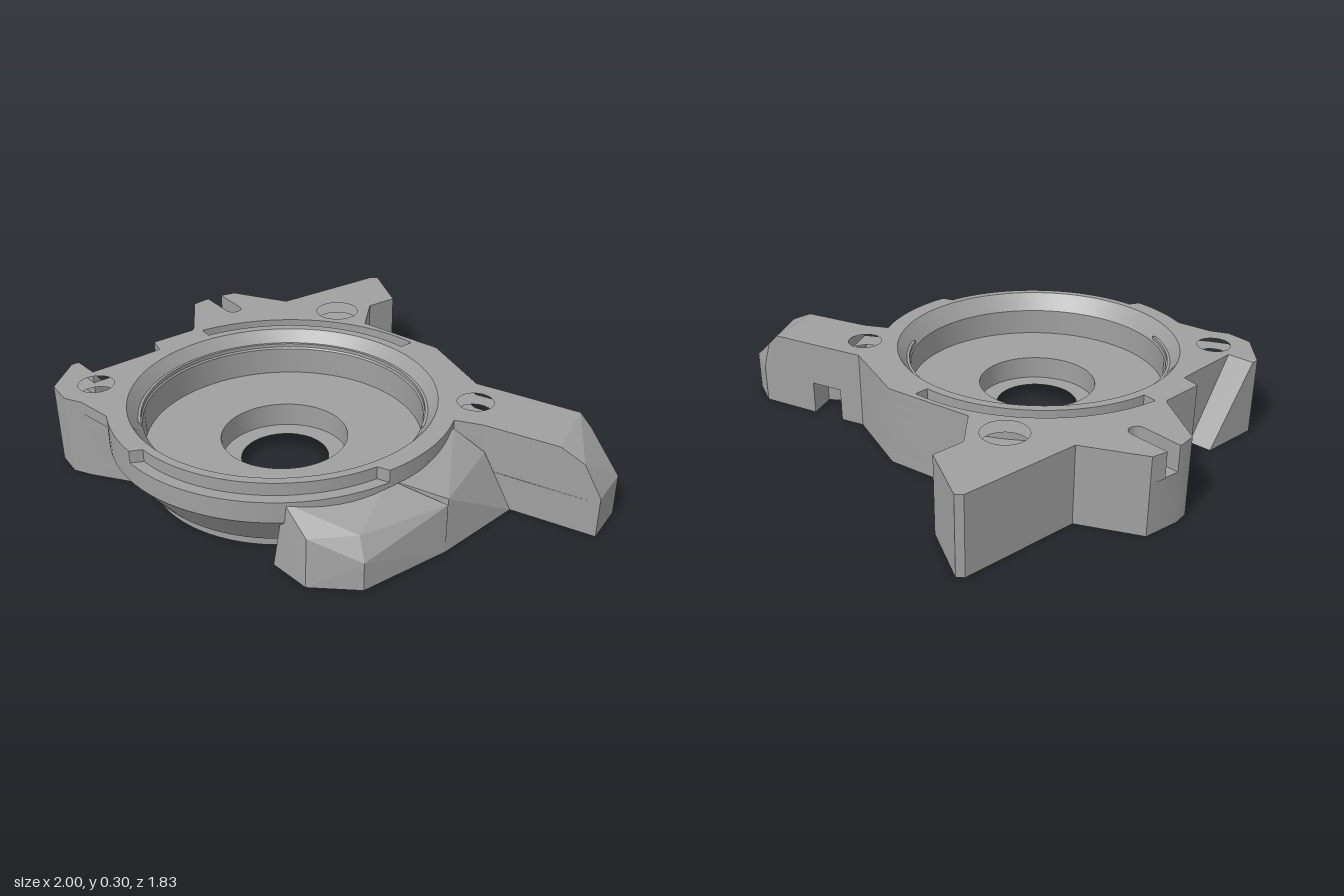
import * as THREE from 'three';
import { toCreasedNormals } from 'three/addons/utils/BufferGeometryUtils.js';
import { ConvexGeometry } from 'three/addons/geometries/ConvexGeometry.js';

const CX = -0.17, CZ = 0.23; // centre of the round bowl

// points [x, z] along an arc around a centre, angles in degrees (0 = +x, 90 = +z)
function arc(r, a0, a1, n = 32, cx = CX, cz = CZ) {
  return Array.from({ length: n + 1 }, (_, i) => {
    const a = THREE.MathUtils.degToRad(a0 + (a1 - a0) * i / n);
    return [cx + r * Math.cos(a), cz + r * Math.sin(a)];
  });
}
const circle = (r, x = CX, z = CZ, n = 48) => arc(r, 0, 360 - 360 / n, n - 1, x, z);
const band = (r0, r1, a0, a1) => [...arc(r0, a0, a1), ...arc(r1, a1, a0)];
const toVec = (pts) => pts.map(([x, z]) => new THREE.Vector2(x, -z));

export function createModel() {
  const group = new THREE.Group();
  const grey = new THREE.MeshStandardMaterial({ color: 0xa0a0a0 });
  grey.name = 'machined grey';

  function add(name, geometry) {
    const mesh = new THREE.Mesh(geometry, grey);
    mesh.name = name;
    group.add(mesh);
  }
  // horizontal slab between two heights
  function slab(name, y0, y1, outline, holes = []) {
    const shape = new THREE.Shape(toVec(outline));
    shape.holes = holes.map((h) => new THREE.Path(toVec(h)));
    const geo = new THREE.ExtrudeGeometry(shape, { depth: y1 - y0, bevelEnabled: false });
    geo.rotateX(-Math.PI / 2).translate(0, y0, 0);
    add(name, toCreasedNormals(geo, 0.5));
  }
  // faceted block from [x, y, z] corners
  function block(name, corners) {
    add(name, new ConvexGeometry(corners.map((c) => new THREE.Vector3(...c))));
  }
  const atY = (y, pts) => pts.map(([x, z]) => [x, y, z]);

  // outline of the plate, from the left lug round the back to the long arm
  const lug = [[-0.86, 0.39], [-0.93, 0.37], [-1, 0.29], [-1, 0.11], [-0.98, 0.09], [-0.9, 0.16],
    [-0.76, 0], [-0.71, -0.06], [-0.75, -0.12], [-0.63, -0.25], [-0.63, -0.27], [-0.69, -0.51], [-0.655, -0.56]];
  const slot = [[-0.645, -0.57], ...arc(0.032, 135, -45, 10, -0.515, -0.48), [-0.6, -0.615]];
  const back = [[-0.55, -0.65], [-0.31, -0.59], [0.02, -0.91], [0.05, -0.91], [0.14, -0.68],
    [0.05, -0.59], [0.05, -0.41], [0.35, -0.22], [0.51, 0.06], [0.6, 0.1], [0.54, 0.36], [0.44, 0.34]];
  const plain = [...lug, ...back];
  const slotted = [...lug, ...slot, ...back];

  // bolt holes
  const rightHole = circle(0.065, 0.51, 0.2, 32);
  const leftHole = circle(0.065, -0.855, 0.25, 32);
  const rearHole = (r) => circle(r, -0.08, -0.52, 32);

  // base with keyways cut in the underside
  slab('base', 0, 0.04, [...plain, ...arc(0.49, 12, 156)], [
    circle(0.16), rightHole, leftHole, rearHole(0.07),
    band(0.385, 0.435, -25, 25),
    band(0.385, 0.425, -152, -87),
    [[-0.3, -0.26], [-0.24, -0.28], [-0.36, -0.56], [-0.42, -0.54]],
  ]);
  // plate layers wrapping the back of the bowl
  slab('plateLower', 0.04, 0.2, [...plain, ...arc(0.505, 10, -203, 64)],
    [rightHole, leftHole]);
  slab('plateUpper', 0.2, 0.255, [...slotted, ...arc(0.505, 10, -203, 64)],
    [rightHole, leftHole, rearHole(0.085)]);
  // top face with an arc groove at the back and a stepped rim at the front
  slab('plateTop', 0.255, 0.3,
    [...slotted, ...arc(0.62, 10, 47, 12), ...arc(0.58, 49, 131), ...arc(0.62, 133, 157, 8)],
    [circle(0.565, CX, CZ, 96), band(0.585, 0.64, -131, -49), rightHole, leftHole, rearHole(0.085)]);

  // bowl with a coned outer wall and a counterbored centre
  const profile = [[0.23, 0.04], [0.511, 0.04], [0.62, 0.18], [0.62, 0.255], [0.58, 0.255], [0.58, 0.3],
    [0.55, 0.3], [0.5, 0.235], [0.5, 0.13], [0.23, 0.13], [0.23, 0.04]];
  const bowl = new THREE.LatheGeometry(profile.map(([r, y]) => new THREE.Vector2(r, y)), 96);
  bowl.translate(CX, 0, CZ);
  add('bowl', toCreasedNormals(bowl, 0.4));

  // long arm with a sloped tip and a channel beneath
  const tip = [[0.94, 0.26], [1, 0.38], [0.93, 0.53]];
  const root = [[0.6, 0.1], [0.54, 0.36]];
  block('armUpper', [
    ...atY(0.13, [...root, ...tip]), ...atY(0.15, tip),
    ...atY(0.3, [...root, [0.87, 0.227], [0.79, 0.469]]),
    [0.91, 0.255, 0.247], [0.87, 0.26, 0.504],
  ]);
  const armFoot = [[0.72, 0.157], ...tip, [0.65, 0.41]];
  block('armFoot', [...atY(0, armFoot), ...atY(0.13, armFoot)]);
  const armWeb = [[0.56, 0.27], [0.69, 0.27], [0.65, 0.41], [0.54, 0.36]];
  block('armWeb', [...atY(0, armWeb), ...atY(0.13, armWeb)]);

  // faceted buttress at the front left
  block('buttressFront', [
    ...atY(0, [[-0.1, 0.82], [0.02, 0.92], [0.2, 0.91], [0.44, 0.68], [0.3, 0.6], [0.05, 0.7]]),
    [-0.06, 0.25, 0.83], [0.02, 0.17, 0.9], [0.2, 0.1, 0.905], [0.18, 0.17, 0.86],
    [0.44, 0.17, 0.66], [0.25, 0.25, 0.66],
  ]);
  block('buttressSide', [
    ...atY(0, [[0.44, 0.68], [0.44, 0.61], [0.65, 0.41], [0.5, 0.33], [0.35, 0.5]]),
    [0.25, 0.25, 0.66], [0.44, 0.18, 0.64], [0.44, 0.28, 0.36], [0.55, 0.2, 0.37],
  ]);

  // ramp beside the left lug
  const rampTop = [[-0.98, 0.09], [-0.9, 0.16]];
  block('ramp', [...atY(0, [...rampTop, [-0.83, -0.06], [-0.76, 0]]), ...atY(0.3, rampTop)]);

  return group;
}
